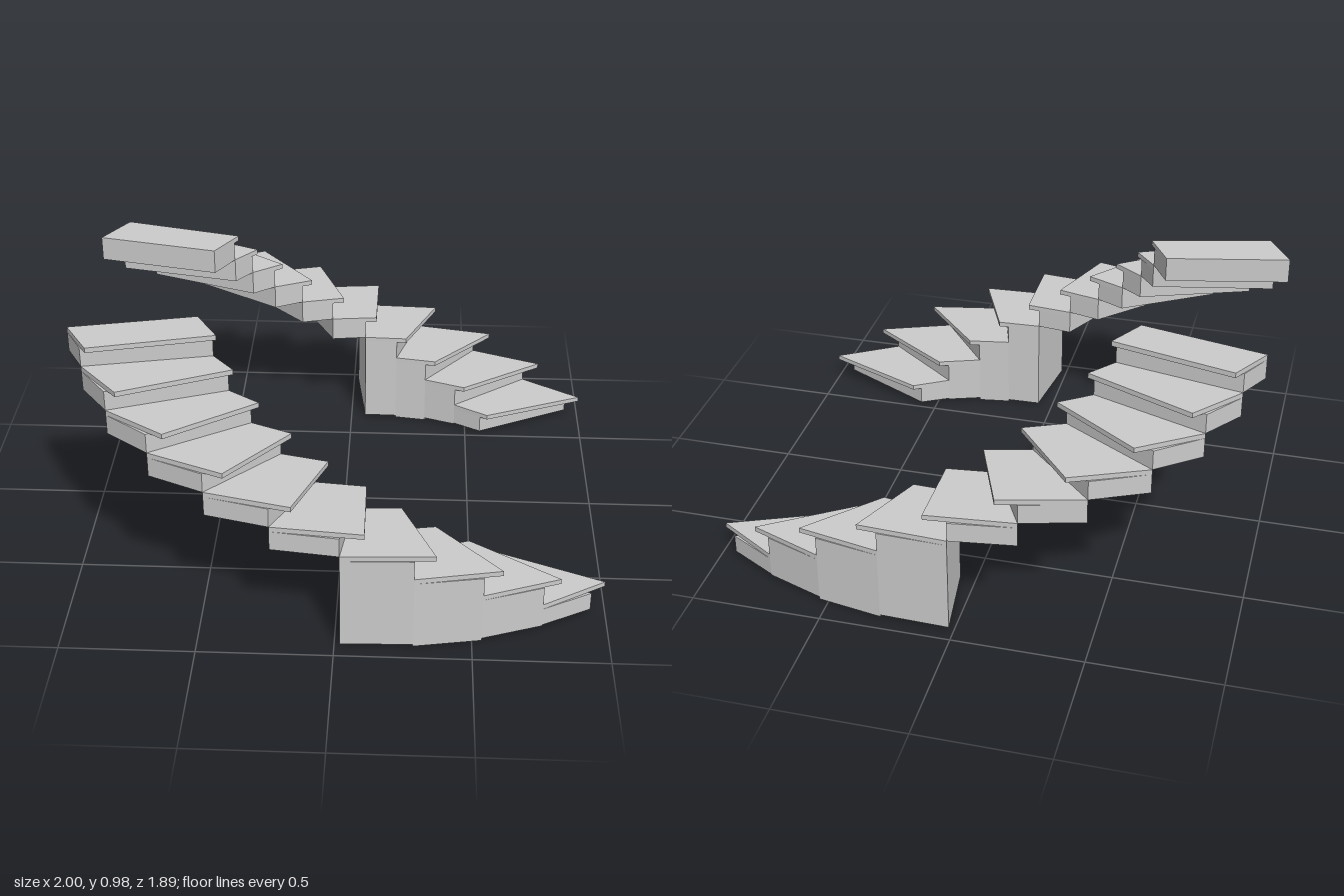
import * as THREE from 'three';

// Plan points [outer x, outer z, inner x, inner z] from the lowest step upward
const noses = [
  [0.998, 0.663, 0.592, 0.492], [0.822, 0.782, 0.49, 0.56], [0.605, 0.872, 0.362, 0.61],
  [0.362, 0.927, 0.235, 0.635], [0.108, 0.943, 0.106, 0.642], [-0.15, 0.926, -0.034, 0.631],
  [-0.39, 0.872, -0.167, 0.601], [-0.607, 0.78, -0.287, 0.554], [-0.785, 0.665, -0.383, 0.49],
  [-0.908, 0.527, -0.45, 0.413],
];
const risers = [
  [0.945, 0.708, 0.563, 0.515], [0.76, 0.81, 0.452, 0.575], [0.537, 0.891, 0.322, 0.62],
  [0.286, 0.935, 0.195, 0.638], [0.02, 0.943, 0.06, 0.641], [-0.23, 0.91, -0.08, 0.622],
  [-0.465, 0.847, -0.208, 0.588], [-0.67, 0.752, -0.318, 0.535], [-0.83, 0.63, -0.403, 0.473],
  [-0.935, 0.49, -0.465, 0.392], [-1, 0.374, -0.533, 0.272],
];
const bottoms = [0.016, 0.012, 0.002, 0.01]; // the four lowest steps reach the floor
const TREAD = 0.02;
const topOf = (i) => 0.11 + i * 0.0972;

// Upright prism between two radial lines of the plan
function wedge(a, b, y0, y1, side) {
  const corners = [[a[0], a[1]], [b[0], b[1]], [b[2], b[3]], [a[2], a[3]]];
  const shape = new THREE.Shape(corners.map(([x, z]) => new THREE.Vector2(x, -z * side)));
  const geo = new THREE.ExtrudeGeometry(shape, { depth: y1 - y0, bevelEnabled: false });
  return geo.rotateX(-Math.PI / 2).translate(0, y0, 0);
}

function staircase(name, side, material) {
  const stairs = new THREE.Group();
  stairs.name = name;
  noses.forEach((nose, i) => {
    const top = topOf(i);
    const bottom = bottoms[i] ?? topOf(i - 1);
    const step = new THREE.Group();
    step.name = `step${i + 1}`;
    // Block set back behind the nosing
    const block = new THREE.Mesh(wedge(risers[i], risers[i + 1], bottom, top - TREAD, side), material);
    block.name = 'stepBlock';
    // Thin tread overhanging the riser
    const tread = new THREE.Mesh(wedge(nose, risers[i + 1], top - TREAD, top, side), material);
    tread.name = 'tread';
    step.add(block, tread);
    stairs.add(step);
  });
  return stairs;
}

export function createModel() {
  const model = new THREE.Group();
  model.name = 'curvedStaircases';
  const material = new THREE.MeshStandardMaterial({ color: 0xcccccc, flatShading: true });
  model.add(staircase('frontStaircase', 1, material), staircase('backStaircase', -1, material));
  return model;
}
